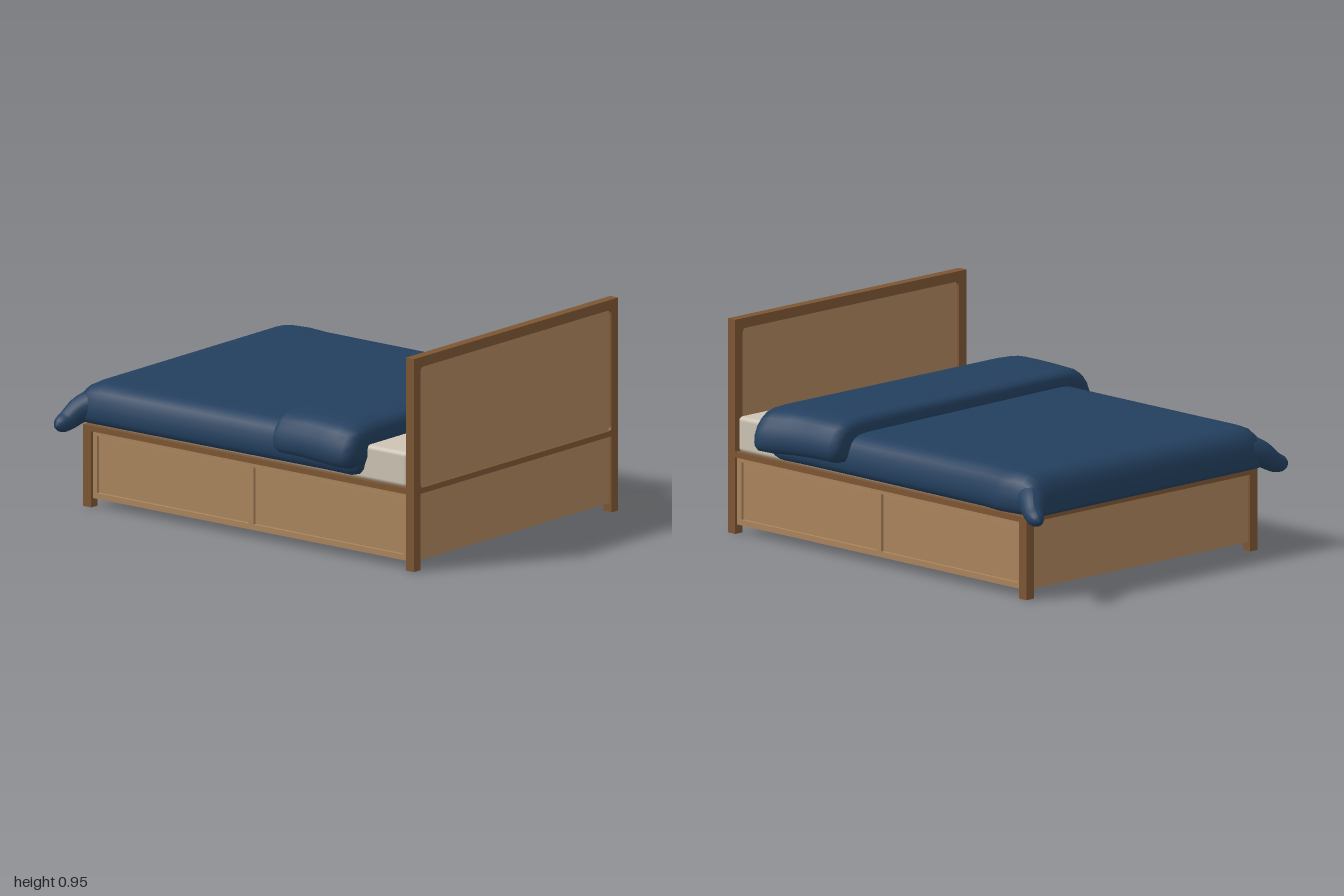
import * as THREE from 'three';
import { RoundedBoxGeometry } from 'three/addons/geometries/RoundedBoxGeometry.js';

const mat = (name, color) => Object.assign(new THREE.MeshStandardMaterial({ color }), { name });
const CX = -0.01; // centre line of the bed frame

function rectPath(target, x0, y0, x1, y1, r = 0) {
  target.moveTo(x0 + r, y0);
  target.lineTo(x1 - r, y0);
  if (r) target.quadraticCurveTo(x1, y0, x1, y0 + r);
  target.lineTo(x1, y1 - r);
  if (r) target.quadraticCurveTo(x1, y1, x1 - r, y1);
  target.lineTo(x0 + r, y1);
  if (r) target.quadraticCurveTo(x0, y1, x0, y1 - r);
  target.lineTo(x0, y0 + r);
  if (r) target.quadraticCurveTo(x0, y0, x0 + r, y0);
  return target;
}

// Half outline of a draped cloth section: [inset from the side, height 0..1]
const DRAPE = [[0.1, 0], [0.04, 0.01], [0.014, 0.07], [0, 0.2], [0.002, 0.4],
  [0.012, 0.62], [0.028, 0.8], [0.05, 0.92], [0.08, 0.98], [0.13, 1]];

// Lofts cloth through sections [z at left edge, z at right edge, x0, x1, bottom, top]
function drapeGeometry(sections, slope) {
  const pos = [], idx = [], n = DRAPE.length * 2;
  for (const [z0, z1, x0, x1, b, t] of sections) {
    const add = (x, v) => pos.push(x, b + (t - b) * v, z0 + (z1 - z0) * (x - x0) / (x1 - x0));
    for (const [d, v] of DRAPE) add(x1 - d * slope, v);
    for (const [d, v] of [...DRAPE].reverse()) add(x0 + d * slope, v);
  }
  for (let s = 0; s < sections.length - 1; s++) {
    for (let i = 0; i < n; i++) {
      const a = s * n + i, b = s * n + (i + 1) % n;
      idx.push(a, b, a + n, b, b + n, a + n);
    }
  }
  // end caps, as strips between the two mirrored halves
  const last = (sections.length - 1) * n;
  for (let i = 0; i < DRAPE.length - 1; i++) {
    const q = [i, i + 1, n - 2 - i, n - 1 - i];
    idx.push(q[0], q[2], q[1], q[0], q[3], q[2]);
    idx.push(last + q[0], last + q[1], last + q[2], last + q[0], last + q[2], last + q[3]);
  }
  const g = new THREE.BufferGeometry();
  g.setAttribute('position', new THREE.Float32BufferAttribute(pos, 3));
  g.setIndex(idx);
  g.computeVertexNormals();
  return g;
}

// Tube that narrows to a rounded tip
function hornGeometry(points, r0, r1) {
  const curve = new THREE.CatmullRomCurve3(points.map(p => new THREE.Vector3(...p)));
  const rings = 28, sides = 16;
  const g = new THREE.TubeGeometry(curve, rings, 1, sides);
  const p = g.attributes.position, v = new THREE.Vector3();
  for (let i = 0; i <= rings; i++) {
    const t = i / rings, c = curve.getPointAt(t);
    const tip = Math.sqrt(Math.max(0, 1 - Math.max(0, (t - 0.82) / 0.18) ** 2));
    const r = (r0 + (r1 - r0) * t) * tip;
    for (let j = 0; j <= sides; j++) {
      const k = i * (sides + 1) + j;
      v.fromBufferAttribute(p, k).sub(c).multiplyScalar(r).add(c);
      p.setXYZ(k, v.x, v.y, v.z);
    }
  }
  g.computeVertexNormals();
  return g;
}

export function createModel() {
  const model = new THREE.Group();
  model.name = 'bed';
  const darkWood = mat('darkWood', 0x7d5633);
  const lightWood = mat('lightWood', 0xaa845c);
  const linen = mat('linen', 0xcdc3b3);
  const navy = mat('navyCloth', 0x233f5e);

  const add = (name, geometry, material) => {
    const m = new THREE.Mesh(geometry, material);
    m.name = name;
    model.add(m);
    return m;
  };
  const box = (name, material, x0, x1, y0, y1, z0, z1) => {
    const m = add(name, new THREE.BoxGeometry(x1 - x0, y1 - y0, z1 - z0), material);
    m.position.set((x0 + x1) / 2, (y0 + y1) / 2, (z0 + z1) / 2);
    return m;
  };

  // Headboard frame with a rounded opening, and its panel
  const frame = rectPath(new THREE.Shape(), CX - 0.7, 0.34, CX + 0.7, 0.95);
  frame.holes.push(rectPath(new THREE.Path(), CX - 0.655, 0.365, CX + 0.655, 0.905, 0.022));
  add('headboardFrame', new THREE.ExtrudeGeometry(frame, { depth: 0.045, bevelEnabled: false }), darkWood)
    .position.z = 0.955;
  box('headboardPanel', lightWood, CX - 0.67, CX + 0.67, 0.355, 0.92, 0.968, 0.987);

  // Legs
  for (const s of [-1, 1]) {
    const x = CX + s * 0.6775;
    box('headLeg', darkWood, x - 0.0225, x + 0.0225, 0, 0.34, 0.955, 1);
    box('footLeg', darkWood, x - 0.0225, x + 0.0225, 0, 0.365, -0.845, -0.8);
  }

  // Base and top rail
  box('base', lightWood, CX - 0.672, CX + 0.672, 0.04, 0.34, -0.832, 0.987);
  box('topRail', darkWood, CX - 0.7, CX + 0.7, 0.34, 0.365, -0.844, 0.956);

  // Side frames with two recessed drawer fronts each
  const side = rectPath(new THREE.Shape(), -0.8, 0.04, 0.955, 0.34);
  for (const [a, b] of [[-0.778, 0.065], [0.095, 0.93]]) {
    side.holes.push(rectPath(new THREE.Path(), a, 0.065, b, 0.32));
    for (const s of [-1, 1]) {
      const x = CX + s * 0.674;
      box('drawerFront', lightWood, x - 0.004, x + 0.004, 0.069, 0.316, a + 0.004, b - 0.004);
    }
  }
  for (const s of [-1, 1]) {
    const m = add('sideFrame', new THREE.ExtrudeGeometry(side, { depth: 0.016, bevelEnabled: false }), lightWood);
    m.rotation.y = -Math.PI / 2;
    m.position.x = CX + (s > 0 ? 0.688 : -0.672);
  }

  // Mattress
  add('mattress', new RoundedBoxGeometry(1.38, 0.158, 1.75, 4, 0.02), linen)
    .position.set(CX, 0.443, 0.077);

  // Duvet body
  add('duvet', drapeGeometry([
    [-0.888, -0.902, -0.70, 0.68, 0.39, 0.43],
    [-0.886, -0.9, -0.715, 0.695, 0.375, 0.465],
    [-0.872, -0.886, -0.73, 0.71, 0.37, 0.505],
    [-0.845, -0.855, -0.735, 0.715, 0.37, 0.533],
    [-0.81, -0.82, -0.737, 0.718, 0.37, 0.55],
    [-0.76, -0.77, -0.738, 0.725, 0.37, 0.555],
    [-0.68, -0.69, -0.738, 0.735, 0.37, 0.555],
    [-0.58, -0.58, -0.737, 0.72, 0.37, 0.555],
    [0, 0, -0.737, 0.718, 0.372, 0.555],
    [0.5, 0.5, -0.74, 0.725, 0.375, 0.555],
    [0.65, 0.65, -0.745, 0.73, 0.375, 0.555],
    [0.69, 0.69, -0.74, 0.725, 0.385, 0.55],
    [0.712, 0.712, -0.73, 0.715, 0.405, 0.535],
    [0.722, 0.722, -0.71, 0.695, 0.44, 0.51]], 1), navy);

  // Turned-back fold at the pillow end
  add('duvetFold', drapeGeometry([
    [0.278, 0.232, -0.765, 0.735, 0.475, 0.565],
    [0.279, 0.234, -0.785, 0.76, 0.455, 0.59],
    [0.29, 0.244, -0.805, 0.785, 0.44, 0.61],
    [0.32, 0.275, -0.815, 0.795, 0.43, 0.622],
    [0.45, 0.42, -0.822, 0.80, 0.43, 0.625],
    [0.55, 0.54, -0.828, 0.808, 0.425, 0.625],
    [0.64, 0.64, -0.836, 0.832, 0.42, 0.622],
    [0.69, 0.69, -0.83, 0.832, 0.42, 0.612],
    [0.72, 0.71, -0.81, 0.815, 0.435, 0.597],
    [0.732, 0.722, -0.785, 0.785, 0.465, 0.575],
    [0.734, 0.724, -0.76, 0.75, 0.49, 0.55]], 1.5), navy);

  // Loose corners at the foot end
  add('rightCorner', hornGeometry([[-0.64, 0.46, -0.80], [-0.71, 0.43, -0.855],
    [-0.775, 0.385, -0.885], [-0.84, 0.37, -0.89]], 0.075, 0.032), navy);
  add('leftCorner', hornGeometry([[0.61, 0.46, -0.79], [0.675, 0.435, -0.865],
    [0.73, 0.395, -0.935], [0.76, 0.38, -1.0]], 0.08, 0.028), navy);

  return model;
}
